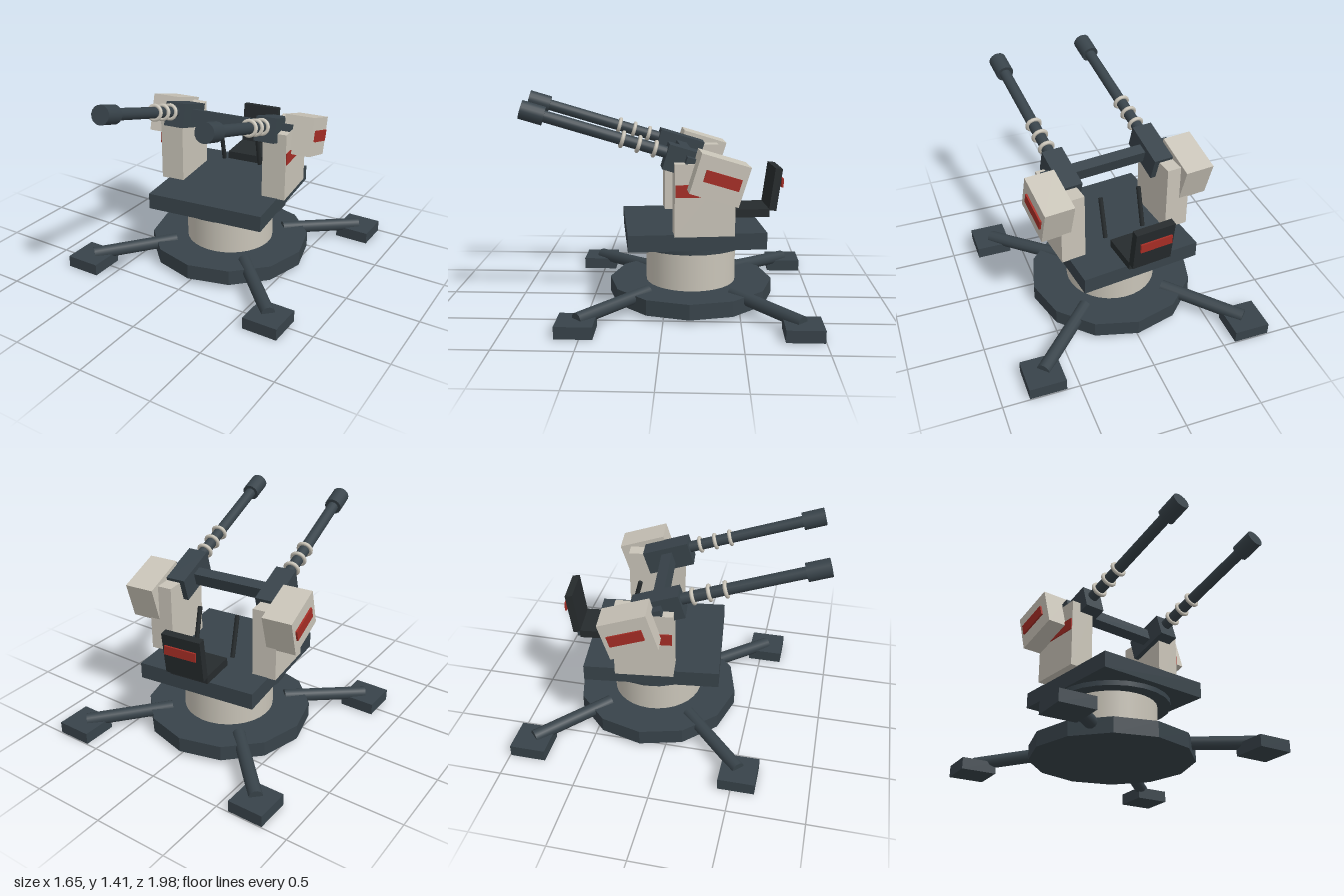
import * as THREE from 'three';

const paint = (color, flatShading = false) => new THREE.MeshStandardMaterial({ color, flatShading });
const dark = paint(0x38434a);
const darkFlat = paint(0x38434a, true);
const beige = paint(0xc9c4b8);
const red = paint(0xa52d25);
const black = paint(0x262b2d);

function add(parent, name, geometry, material, x = 0, y = 0, z = 0, rx = 0) {
  const mesh = new THREE.Mesh(geometry, material);
  mesh.name = name;
  mesh.position.set(x, y, z);
  mesh.rotation.x = rx;
  parent.add(mesh);
  return mesh;
}

const box = (w, h, d) => new THREE.BoxGeometry(w, h, d);
const disc = (r, h, n) => new THREE.CylinderGeometry(r, r, h, n);

// Cylinder stretched between two points
function rod(parent, name, a, b, r, material) {
  const dir = b.clone().sub(a);
  const mesh = add(parent, name, disc(r, dir.length(), 12), material);
  mesh.position.copy(a).add(b).multiplyScalar(0.5);
  mesh.quaternion.setFromUnitVectors(new THREE.Vector3(0, 1, 0), dir.normalize());
}

function group(parent, name, x, y, z) {
  const g = new THREE.Group();
  g.name = name;
  g.position.set(x, y, z);
  parent.add(g);
  return g;
}

// Fixed base: disc, pedestal, four legs with square feet
function buildBase(parent) {
  const base = group(parent, 'base', 0, 0, -0.17);
  add(base, 'baseDisc', disc(0.56, 0.105, 12), darkFlat, 0, 0.082);
  add(base, 'pedestal', disc(0.307, 0.3, 32), beige, 0, 0.27);
  add(base, 'bearingRing', disc(0.4, 0.035, 24), dark, 0, 0.428);
  for (const sx of [-1, 1]) for (const sz of [-1, 1]) {
    add(base, 'foot', box(0.24, 0.08, 0.24), dark, sx * 0.705, 0.04, sz * 0.705);
    rod(base, 'leg',
      new THREE.Vector3(sx * 0.28, 0.12, sz * 0.28),
      new THREE.Vector3(sx * 0.7, 0.08, sz * 0.7), 0.045, dark);
  }
}

// Operator's seat with backrest and two levers
function buildSeat(turret) {
  add(turret, 'seat', box(0.27, 0.055, 0.255), black, 0, 0.618, -0.393);
  add(turret, 'backrest', box(0.27, 0.29, 0.05), black, 0, 0.778, -0.56, -0.13);
  add(turret, 'backrestStripe', box(0.22, 0.06, 0.012), red, 0, 0.818, -0.611);
  for (const s of [-1, 1])
    add(turret, 'controlLever', disc(0.016, 0.28, 8), black, s * 0.138, 0.755, -0.165, 0.25);
}

// Pitched assembly: crossbar, twin guns and side pods
function buildGuns(turret) {
  const guns = group(turret, 'gunCradle', 0, 1.012, 0.052);
  guns.rotation.x = -0.3;
  add(guns, 'crossbar', box(0.92, 0.09, 0.075), dark);
  for (const s of [-1, 1]) {
    const gun = group(guns, 'gun', s * 0.33, 0, 0);
    add(gun, 'breech', box(0.14, 0.165, 0.32), dark);
    add(gun, 'barrel', disc(0.038, 0.95, 16), dark, 0, 0.02, 0.6, Math.PI / 2);
    add(gun, 'muzzle', disc(0.06, 0.15, 16), dark, 0, 0.02, 1.03, Math.PI / 2);
    for (let i = 0; i < 3; i++)
      add(gun, 'barrelRing', new THREE.TorusGeometry(0.046, 0.013, 8, 20), beige, 0, 0.02, 0.235 + i * 0.107);
    add(guns, 'sidePod', box(0.2, 0.26, 0.32), beige, s * 0.495, -0.02, -0.178);
    add(guns, 'podPanel', box(0.02, 0.075, 0.23), red, s * 0.597, -0.015, -0.19);
  }
}

export function createModel() {
  const model = new THREE.Group();
  model.name = 'gunTurret';
  buildBase(model);

  // Rotating upper part, turned slightly to its left
  const turret = group(model, 'turret', 0, 0, -0.17);
  turret.rotation.y = 0.125;
  add(turret, 'platform', box(0.82, 0.11, 0.9), dark, 0, 0.5, 0);
  for (const s of [-1, 1]) {
    add(turret, 'tower', box(0.165, 0.47, 0.385), beige, s * 0.38, 0.787, -0.037);
    add(turret, 'towerStripe', box(0.02, 0.08, 0.37), red, s * 0.46, 0.85, -0.035);
  }
  buildSeat(turret);
  buildGuns(turret);
  return model;
}
